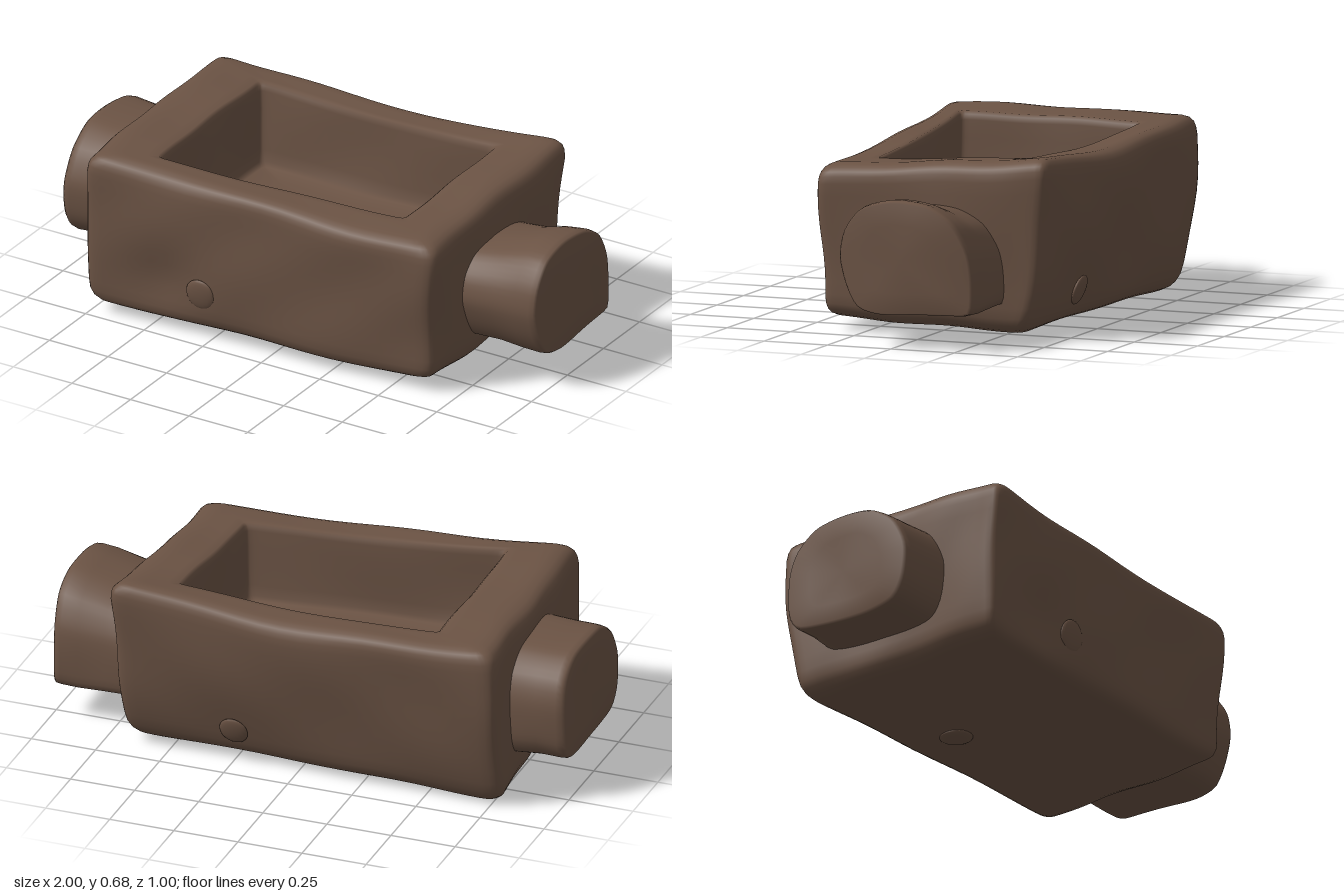
import * as THREE from 'three';
import { mergeVertices } from 'three/addons/utils/BufferGeometryUtils.js';

const wood = new THREE.MeshStandardMaterial({ color: 0x6b5344 });
wood.name = 'dark wood';

// Skins a list of closed rings, each with the same number of points
function loft(rings) {
  const n = rings[0].length, pos = [], index = [];
  rings.forEach(r => r.forEach(p => pos.push(p.x, p.y, p.z)));
  for (let i = 0; i < rings.length - 1; i++) {
    for (let j = 0; j < n; j++) {
      const a = i * n + j, b = i * n + (j + 1) % n;
      index.push(a, a + n, b, b, a + n, b + n);
    }
  }
  let g = new THREE.BufferGeometry();
  g.setAttribute('position', new THREE.Float32BufferAttribute(pos, 3));
  g.setIndex(index);
  g = mergeVertices(g, 1e-4);
  g.computeVertexNormals();
  return g;
}

function addMesh(group, name, geometry) {
  const m = new THREE.Mesh(geometry, wood);
  m.name = name;
  group.add(m);
  return m;
}

// Corner order: back left, back right, front right, front left (in plan)
const blend = (c, u, v) => {
  const s = (u + 1) / 2, t = (v + 1) / 2;
  return (c[0] * (1 - s) + c[1] * s) * (1 - t) + (c[3] * (1 - s) + c[2] * s) * t;
};
const BASE = { x: [-0.795, 0.68, 0.675, -0.755], z: [-0.39, -0.39, 0.41, 0.49] };
const TOP = { x: [-0.79, 0.71, 0.685, -0.765], z: [-0.485, -0.49, 0.43, 0.5] };
const HOLE = { x: [-0.52, 0.475, 0.46, -0.515], z: [-0.335, -0.335, 0.26, 0.36] };
const BASE_Y = [0.005, 0.03, 0.045, 0.04], TOP_Y = [0.67, 0.7, 0.605, 0.66];
const FLOOR_Y = 0.32;

// Outline of a square with rounded corners, densest near the corners
function roundedSquare(r, perSide = 28) {
  const pts = [], dirs = [[1, -1, 0, 1], [1, 1, -1, 0], [-1, 1, 0, -1], [-1, -1, 1, 0]];
  for (const [cu, cv, du, dv] of dirs) {
    for (let i = 0; i < perSide; i++) {
      const s = 1 + Math.sin(Math.PI * (i / perSide - 0.5));
      const q = new THREE.Vector2(cu + du * s, cv + dv * s);
      const p = q.clone().clampScalar(-(1 - r), 1 - r);
      pts.push(p.clone().add(q.sub(p).setLength(r)));
    }
  }
  return pts;
}

const gauss = (a, b, r) => Math.exp(-(a * a + b * b) / (r * r));

// Uneven hewn surface
function weather(p, amount = 1) {
  const { x, y, z } = p;
  p.x += amount * (0.005 * Math.sin(8 * z + 7 * y) + 0.003 * Math.sin(19 * z - 11 * y));
  p.z += amount * (0.005 * Math.sin(5 * x + 9 * y) + 0.003 * Math.sin(11 * x - 16 * y + 1));
  p.y += amount * (0.004 * Math.sin(9 * x + 4 * z) + 0.003 * Math.sin(14 * z - 6 * x));
  if (z > 0.3) p.z -= 0.02 * gauss(x + 0.42, y - 0.2, 0.12);
  return p;
}

function troughGeometry() {
  const outer = roundedSquare(0.08), inner = roundedSquare(0.05), rings = [];
  // The rim sags between its ends, most of all along the back
  const height = (u, v, t) => {
    const top = blend(TOP_Y, u, v) - (0.03 - 0.02 * v) * (1 - u * u);
    return THREE.MathUtils.lerp(blend(BASE_Y, u, v), top, t);
  };
  // Outer shell: k is the size of the ring, t its height from base to top
  const shell = (k, t) => rings.push(outer.map(q => {
    const u = q.x * k, v = q.y * k, bulge = 1 - (1 - t) ** 2;
    const x = THREE.MathUtils.lerp(blend(BASE.x, u, v), blend(TOP.x, u, v), t);
    const z = THREE.MathUtils.lerp(blend(BASE.z, u, v), blend(TOP.z, u, v), bulge);
    return weather(new THREE.Vector3(x, height(u, v, t), z));
  }));
  for (const k of [0, 0.25, 0.5, 0.75, 0.87]) shell(k, 0);
  for (const [k, t] of [[0.92, 0.006], [0.958, 0.023], [0.982, 0.05], [0.996, 0.09]]) shell(k, t);
  for (let t = 0.15; t < 0.88; t += 0.08) shell(1, t);
  // Worn upper edge
  for (const [k, t] of [[0.994, 0.915], [0.984, 0.945], [0.964, 0.97], [0.935, 0.986], [0.89, 0.997]]) {
    shell(k, t);
  }
  // Rim, from the outer edge to the hollow
  const rimStart = rings[rings.length - 1];
  const hollow = (k, drop) => inner.map(q => {
    const x = blend(HOLE.x, q.x * k, q.y * k), z = blend(HOLE.z, q.x * k, q.y * k);
    const y = THREE.MathUtils.lerp(height(x / 0.74, z / 0.48, 1), FLOOR_Y, drop);
    return weather(new THREE.Vector3(x, y, z), 0.7);
  });
  const lip = hollow(1.03, 0.01);
  for (const s of [0.25, 0.5, 0.75]) {
    rings.push(rimStart.map((p, i) => p.clone().lerp(lip[i], s)));
  }
  rings.push(lip, hollow(1.008, 0.04), hollow(1, 0.1));
  // Hollow walls and floor
  for (const [k, d] of [[0.995, 0.3], [0.99, 0.55], [0.98, 0.8], [0.965, 0.94], [0.93, 0.99]]) {
    rings.push(hollow(k, d));
  }
  for (const k of [0.7, 0.4, 0]) rings.push(hollow(k, 1));
  return loft(rings);
}

// Handle stub: a [z, y] cross-section swept along x; stations are [x, scale, rise of the top]
function stubGeometry(section, stations) {
  const curve = new THREE.CatmullRomCurve3(
    section.map(([z, y]) => new THREE.Vector3(0, y, z)), true, 'catmullrom', 0.4);
  const outline = curve.getSpacedPoints(64).slice(0, 64);
  const cy = 0.33, cz = -0.03;
  return loft(stations.map(([x, k, rise]) => outline.map(p => {
    const y = cy + (p.y - cy) * k, z = cz + (p.z - cz) * k;
    return new THREE.Vector3(
      x + 0.005 * Math.sin(11 * z + 8 * y),
      y + rise * Math.max(0, (y - 0.25) / 0.3) + 0.003 * Math.sin(23 * x + 9 * z),
      z + 0.003 * Math.sin(21 * x + 12 * y));
  })));
}

export function createModel() {
  const model = new THREE.Group();
  model.name = 'hewnTrough';

  addMesh(model, 'troughBody', troughGeometry());

  // Stubs with a flat underside and a rounded top
  addMesh(model, 'leftStub', stubGeometry(
    [[0.14, 0.15], [0.19, 0.23], [0.213, 0.33], [0.19, 0.43], [0.12, 0.515], [0, 0.545],
      [-0.14, 0.53], [-0.24, 0.47], [-0.295, 0.37], [-0.31, 0.27], [-0.308, 0.15], [-0.27, 0.13],
      [-0.1, 0.128], [0.05, 0.126]],
    [[0.6, 1, -0.055], [0.7, 0.99, -0.05], [0.8, 0.99, -0.035], [0.9, 1, -0.01], [0.965, 1, 0],
      [0.985, 0.99, 0], [0.994, 0.96, 0], [0.996, 0.6, 0], [0.996, 0, 0]]));
  addMesh(model, 'rightStub', stubGeometry(
    [[0.2, 0.165], [0.25, 0.24], [0.26, 0.37], [0.205, 0.485], [0.1, 0.55], [-0.03, 0.56],
      [-0.16, 0.545], [-0.25, 0.48], [-0.29, 0.38], [-0.29, 0.23], [-0.24, 0.16], [-0.1, 0.14], [0.07, 0.14]],
    [[-0.996, 0, 0], [-0.996, 0.6, 0], [-0.994, 0.95, 0], [-0.982, 0.985, 0], [-0.96, 1, 0],
      [-0.88, 0.99, 0], [-0.78, 1.0, 0], [-0.65, 1, 0]]));

  // Branch knots: low domes sunk into the wood, facing along the given direction
  const knots = [
    ['frontKnot', [-0.28, 0.19, 0.466], [0, -0.15, 1], 0.06],
    ['backKnot', [0.24, 0.14, -0.425], [0, -0.35, -1], 0.055],
    ['undersideKnot', [-0.15, 0.017, -0.17], [0, -1, 0], 0.06],
  ];
  for (const [name, at, facing, r] of knots) {
    const knot = addMesh(model, name, new THREE.SphereGeometry(r, 20, 12));
    knot.scale.set(1, 1.05, 0.25);
    knot.position.set(...at);
    knot.quaternion.setFromUnitVectors(
      new THREE.Vector3(0, 0, 1), new THREE.Vector3(...facing).normalize());
  }
  return model;
}
